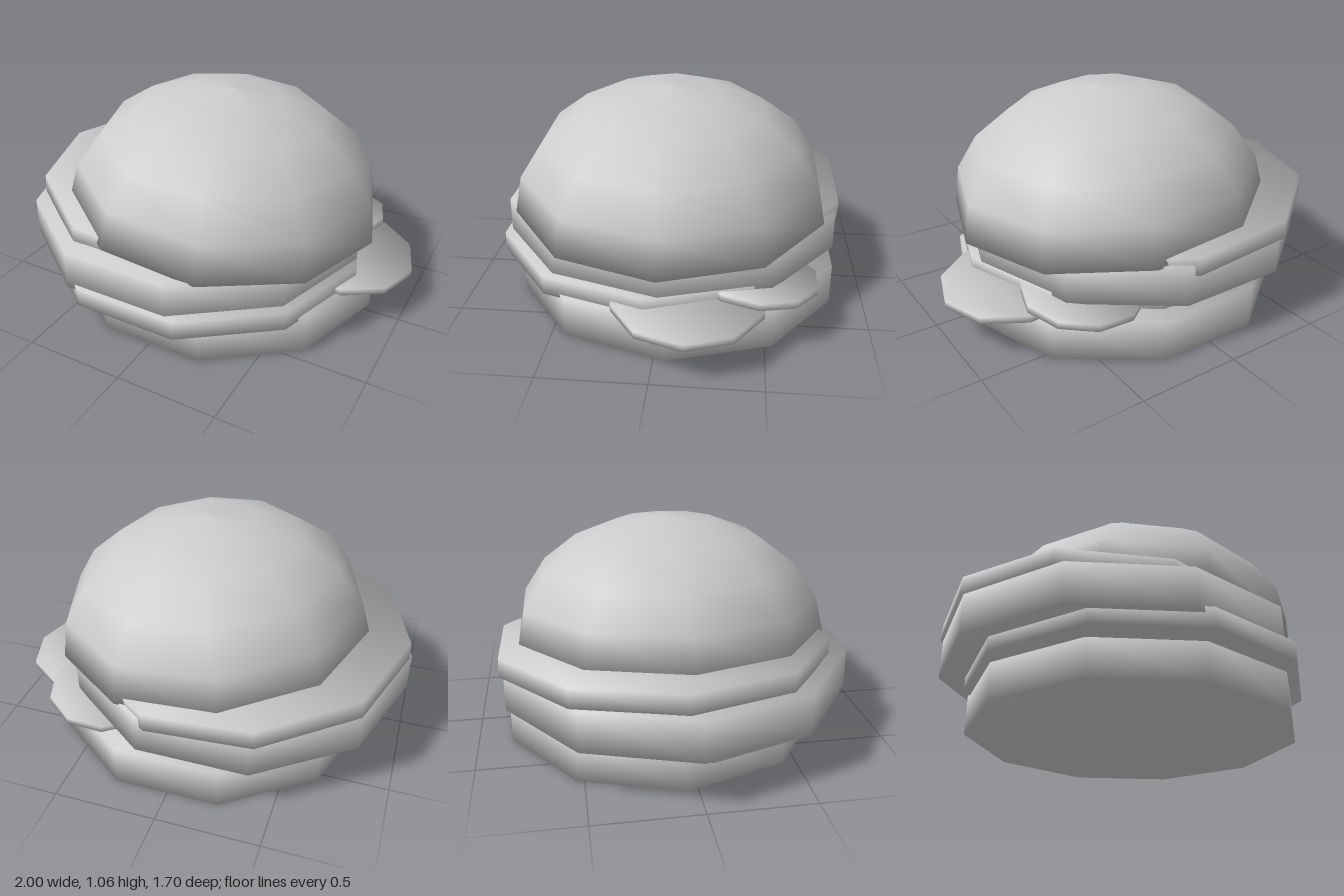
import * as THREE from 'three';
import { mergeVertices } from 'three/addons/utils/BufferGeometryUtils.js';

const SIDES = 10;
const material = new THREE.MeshStandardMaterial({ color: 0xcccccc });

// Ten-sided slab with soft shading that runs over its rim, centred on its middle
function slab(name, radius, height, x, y, z, tiltX = 0, tiltZ = 0) {
  const points = [];
  for (let i = 0; i < SIDES; i++) {
    const a = (i / SIDES) * Math.PI * 2;
    points.push(new THREE.Vector2(Math.cos(a) * radius, Math.sin(a) * radius));
  }
  let geo = new THREE.ExtrudeGeometry(new THREE.Shape(points), { depth: height, bevelEnabled: false });
  geo.rotateX(-Math.PI / 2).translate(0, -height / 2, 0);
  geo.deleteAttribute('uv');
  geo.deleteAttribute('normal');
  geo = mergeVertices(geo, 1e-4);
  const pos = geo.attributes.position;
  const normals = new Float32Array(pos.count * 3);
  const n = new THREE.Vector3();
  for (let i = 0; i < pos.count; i++) {
    n.set(pos.getX(i) / radius, Math.sign(pos.getY(i)) * 0.8, pos.getZ(i) / radius).normalize();
    n.toArray(normals, i * 3);
  }
  geo.setAttribute('normal', new THREE.BufferAttribute(normals, 3));
  const mesh = new THREE.Mesh(geo, material);
  mesh.name = name;
  mesh.position.set(x, y, z);
  mesh.rotation.set(tiltX, 0, tiltZ);
  return mesh;
}

// Domed bun half: quarter-ellipse profile turned about the y axis, closed below
function dome(name, radius, height, x, y, z, tiltZ) {
  const profile = [new THREE.Vector2(0, 0)];
  for (let i = 0; i <= 5; i++) {
    const a = (i / 5) * Math.PI / 2;
    profile.push(new THREE.Vector2(i === 5 ? 0 : Math.cos(a) * radius, Math.sin(a) * height));
  }
  const mesh = new THREE.Mesh(new THREE.LatheGeometry(profile, SIDES, Math.PI / 2), material);
  mesh.name = name;
  mesh.position.set(x, y, z);
  mesh.rotation.z = tiltZ;
  return mesh;
}

export function createModel() {
  const burger = new THREE.Group();
  burger.name = 'burger';
  burger.add(
    slab('bottomBun', 0.825, 0.2, 0.005, 0.1, -0.05),
    // Lower filling and the two small slices poking out of it
    slab('lowerSlice', 0.835, 0.095, -0.06, 0.23, 0.05),
    slab('smallSliceSide', 0.365, 0.035, 0.635, 0.22, -0.145, 0, -0.073),
    slab('smallSliceBack', 0.29, 0.035, 0.455, 0.235, -0.465, -0.05, 0.05),
    slab('patty', 0.875, 0.195, -0.125, 0.347, -0.012),
    // Tilted slice and bun on top
    slab('upperSlice', 0.83, 0.09, -0.16, 0.457, -0.07, 0, -0.073),
    dome('topBun', 0.805, 0.605, 0.017, 0.455, -0.012, -0.073),
  );
  return burger;
}
